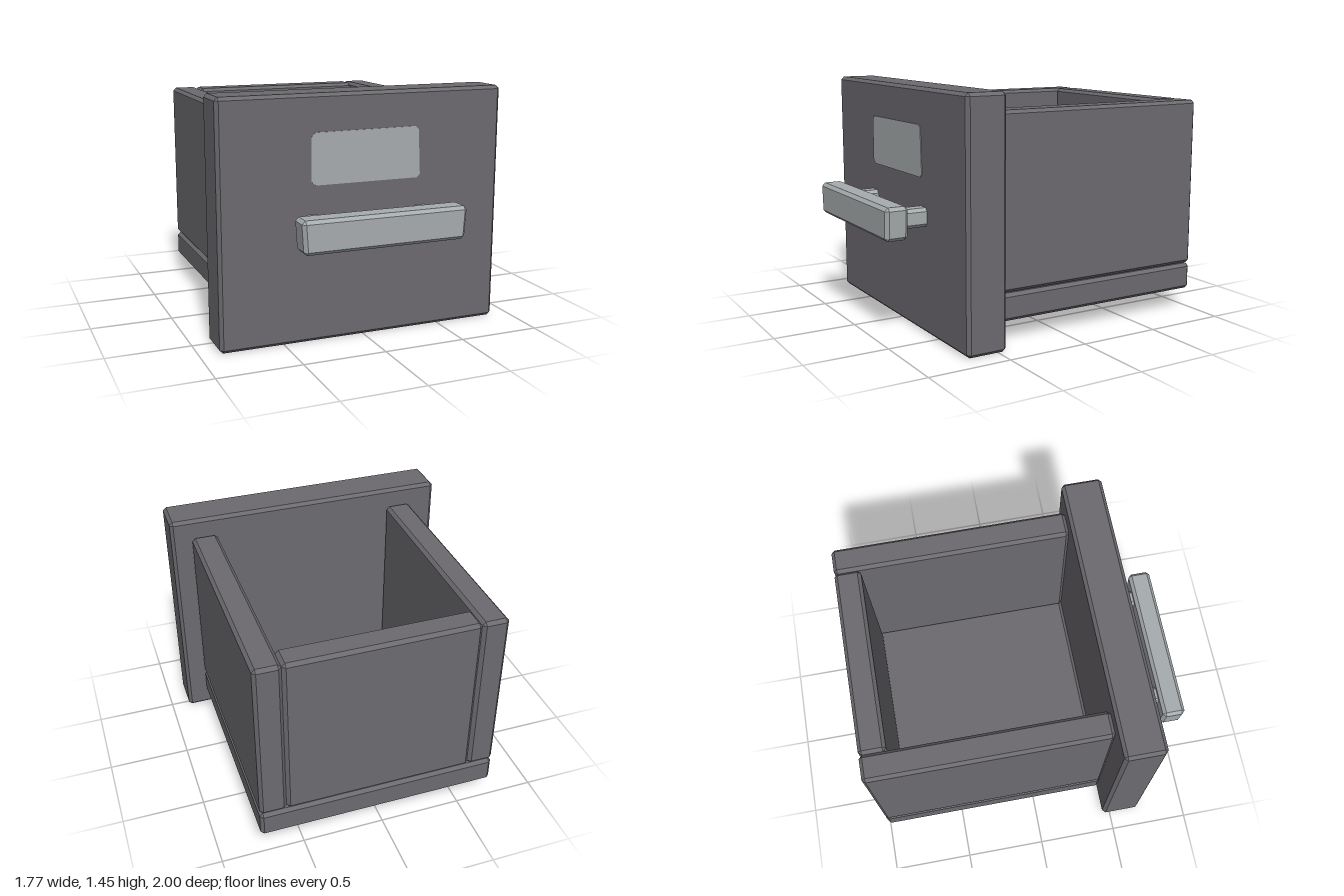
import * as THREE from 'three';
import { ConvexGeometry } from 'three/addons/geometries/ConvexGeometry.js';

// Box with flat chamfers on every edge, given by its [min, max] on each axis
function chamferedBox([x0, x1], [y0, y1], [z0, z1], c = 0.02, taper = 0) {
  const pts = [];
  for (const [x, sx] of [[x0, 1], [x1, -1]])
    for (const [y, sy] of [[y0, 1], [y1, -1]])
      for (const [z, sz] of [[z0, 1], [z1, -1]]) {
        const xt = sy > 0 ? x + sx * taper : x;
        pts.push(
          new THREE.Vector3(xt, y + sy * c, z + sz * c),
          new THREE.Vector3(xt + sx * c, y, z + sz * c),
          new THREE.Vector3(xt + sx * c, y + sy * c, z)
        );
      }
  return new ConvexGeometry(pts);
}

export function createModel() {
  const model = new THREE.Group();
  model.name = 'drawer';

  const darkGrey = new THREE.MeshStandardMaterial({ color: 0x6c6a6f });
  darkGrey.name = 'dark grey';
  const lightGrey = new THREE.MeshStandardMaterial({ color: 0xa6abad });
  lightGrey.name = 'light grey';

  const add = (name, geometry, material) => {
    const mesh = new THREE.Mesh(geometry, material);
    mesh.name = name;
    model.add(mesh);
    return mesh;
  };

  // Drawer body
  const depth = [-1, 0.45], wallHeight = [0.295, 1.335];
  add('frontPanel', chamferedBox([-0.885, 0.885], [0, 1.45], [0.45, 0.7]), darkGrey);
  add('bottomPanel', chamferedBox([-0.712, 0.757], [0.125, 0.29], depth), darkGrey);
  add('rightWall', chamferedBox([-0.712, -0.55], wallHeight, depth), darkGrey);
  add('leftWall', chamferedBox([0.595, 0.757], wallHeight, depth), darkGrey);
  add('backWall', chamferedBox([-0.55, 0.595], wallHeight, [-1, -0.84]), darkGrey);

  // Handle: a bar on two posts
  add('handleBar', chamferedBox([-0.5, 0.508], [0.61, 0.805], [0.86, 1], 0.02, 0.01), lightGrey);
  for (const [name, x] of [['rightPost', -0.33], ['leftPost', 0.355]])
    add(name, chamferedBox([x - 0.052, x + 0.052], [0.65, 0.762], [0.68, 0.88]), lightGrey);

  // Label plate with cut corners, slightly wider at the bottom
  const outline = [
    [-0.31, 0.93], [0.33, 0.93], [0.35, 0.95], [0.337, 1.215],
    [0.315, 1.235], [-0.31, 1.232], [-0.335, 1.208], [-0.335, 0.952],
  ].map(([x, y]) => new THREE.Vector2(x, y));
  const plate = new THREE.ExtrudeGeometry(new THREE.Shape(outline), { depth: 0.006, bevelEnabled: false });
  add('labelPlate', plate, lightGrey).position.z = 0.698;

  return model;
}
